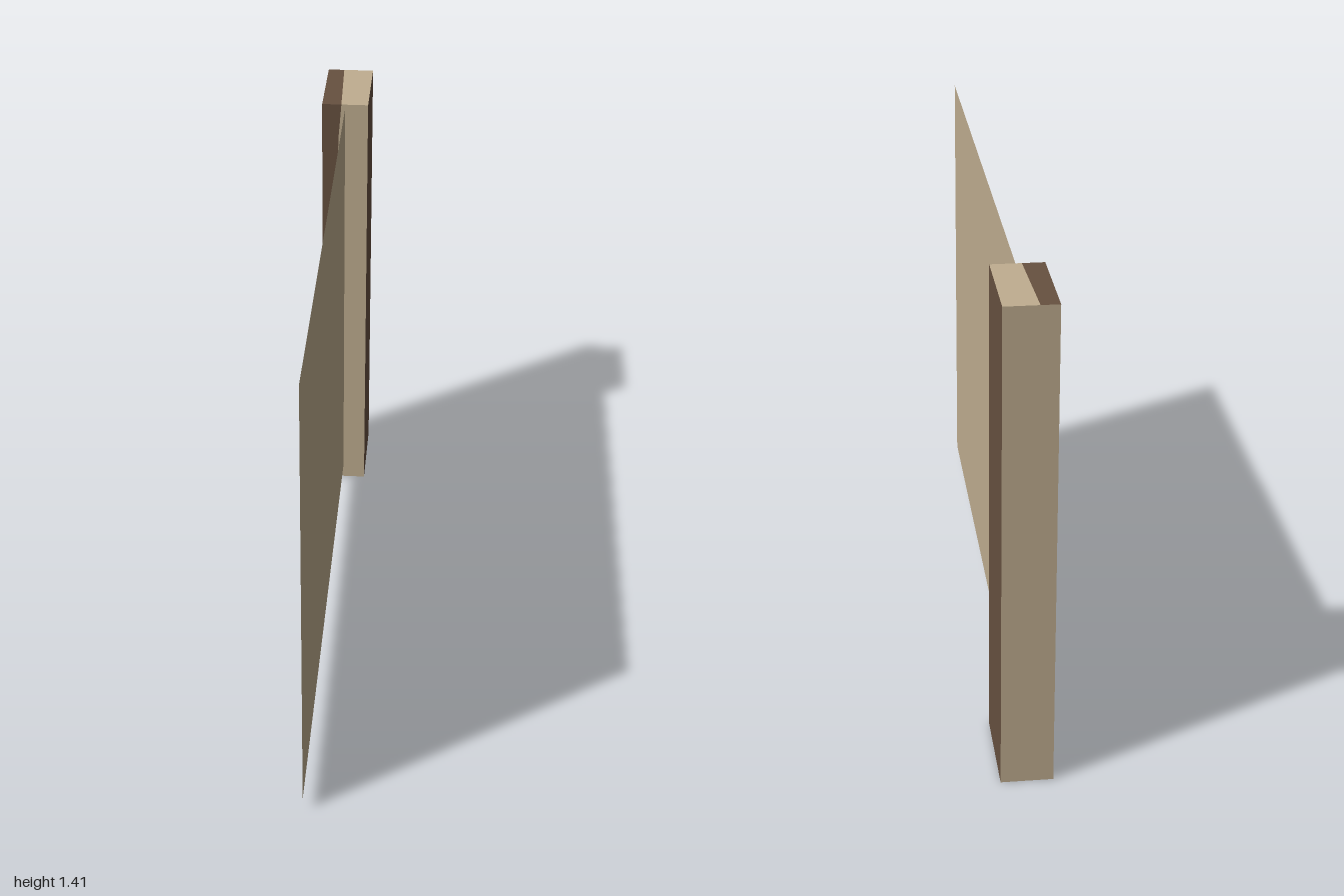
import * as THREE from 'three';

const HEIGHT = 1.41, HALF_W = 0.073, BACK = -1, FRONT = -0.71;

// x of the slightly wavy seam between the two tones of the post
function seamX(y, z) {
  const flare = z > -0.85 ? 0.01 * THREE.MathUtils.smoothstep(y, 1.25, HEIGHT) : 0;
  return -0.022 + flare + 0.001 * Math.sin(y * 9);
}

// One half of the post: its inner side follows the seam and is left open
function postHalf(side, materials) {
  const outer = side * HALF_W;
  const geo = new THREE.BoxGeometry(1, HEIGHT, FRONT - BACK, 1, 12, 1);
  const pos = geo.attributes.position;
  for (let i = 0; i < pos.count; i++) {
    const y = pos.getY(i) + HEIGHT / 2;
    const z = pos.getZ(i) + (FRONT + BACK) / 2;
    const x = pos.getX(i) * side > 0 ? outer : seamX(y, z);
    pos.setXYZ(i, x, y, z);
  }
  const index = Array.from(geo.index.array);
  const kept = [];
  const groups = geo.groups.slice();
  geo.clearGroups();
  groups.forEach((g, face) => {
    if (face === (side > 0 ? 1 : 0)) return; // hidden inner side
    geo.addGroup(kept.length, g.count, g.materialIndex);
    kept.push(...index.slice(g.start, g.start + g.count));
  });
  geo.setIndex(kept);
  return new THREE.Mesh(geo, materials);
}

export function createModel() {
  const tan = new THREE.MeshStandardMaterial({ color: 0xc0ae90 });
  tan.name = 'tan';
  const brown = new THREE.MeshStandardMaterial({ color: 0x675140 });
  brown.name = 'dark brown';
  const cloth = new THREE.MeshStandardMaterial({ color: 0xc0ae90, side: THREE.DoubleSide });
  cloth.name = 'tan sheet';

  const model = new THREE.Group();
  model.name = 'sheetOnPost';

  // Two-tone post; face order: +x, -x, top, bottom, front, back
  const post = new THREE.Group();
  post.name = 'post';
  const leftHalf = postHalf(1, [brown, tan, tan, tan, tan, tan]);
  leftHalf.name = 'postLeftHalf';
  const rightHalf = postHalf(-1, [brown, tan, brown, brown, brown, tan]);
  rightHalf.name = 'postRightHalf';
  post.add(leftHalf, rightHalf);
  model.add(post);

  // Flat sheet reaching forward from the post
  const sheet = new THREE.Mesh(new THREE.PlaneGeometry(1 - FRONT, 1.35), cloth);
  sheet.name = 'sheet';
  sheet.rotation.y = Math.PI / 2;
  sheet.position.set(0, 0.72, (1 + FRONT) / 2);
  model.add(sheet);

  return model;
}
